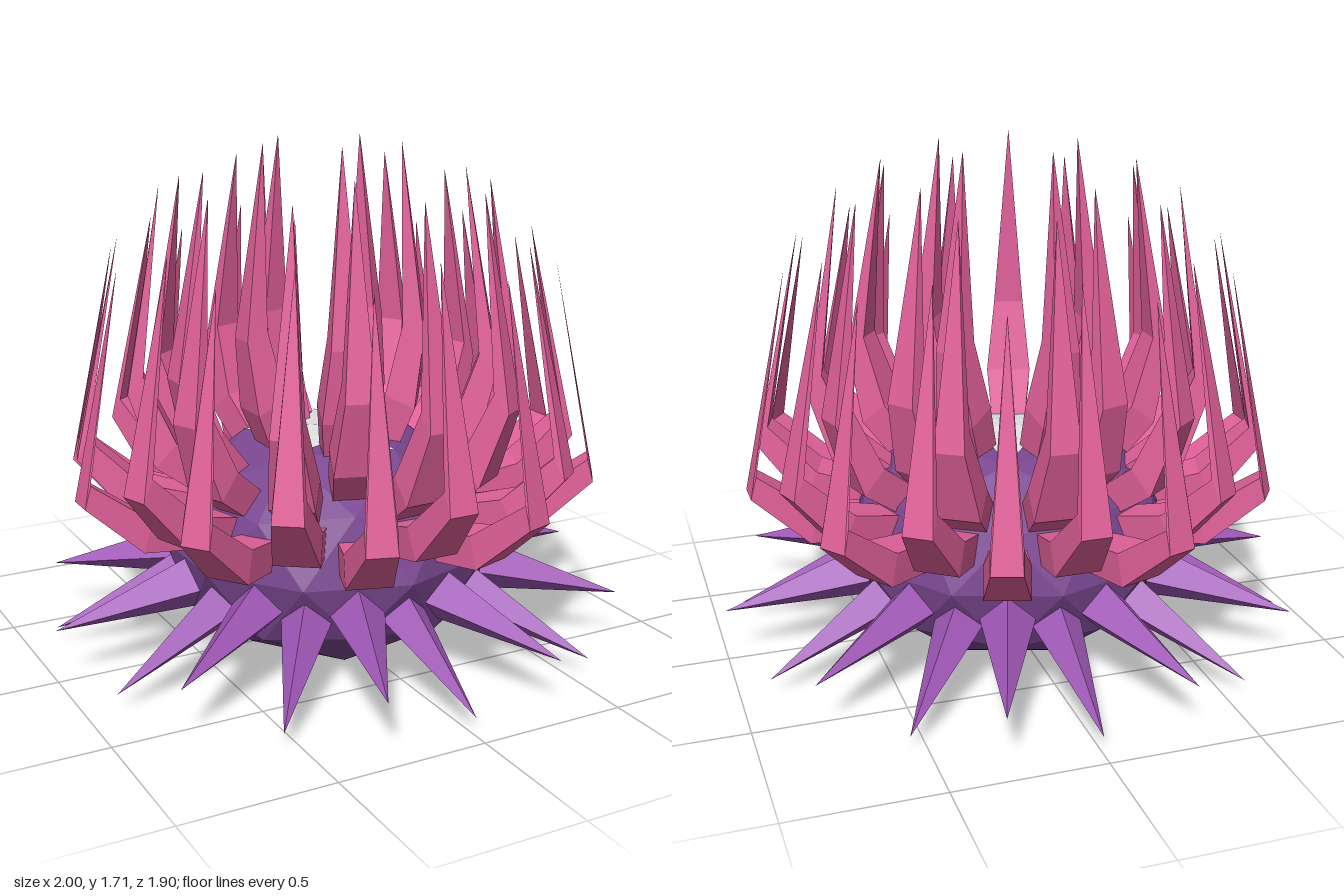
import * as THREE from 'three';

const flat = (name, color) => new THREE.MeshStandardMaterial({ name, color, flatShading: true });

// Square limb through [radius, height, width, thickness] sections in the XY plane,
// every section facing the same way, tilted up by elevation degrees
function limbGeometry(sections, elevation) {
  const e = THREE.MathUtils.degToRad(elevation);
  const rings = sections.map(([x, y, w, t]) =>
    [[1, 1], [-1, 1], [-1, -1], [1, -1]].map(([n, z]) =>
      [x - Math.sin(e) * n * t / 2, y + Math.cos(e) * n * t / 2, z * w / 2]));
  const pos = [];
  const quad = (a, b, c, d) => pos.push(...a, ...b, ...c, ...a, ...c, ...d);
  for (let i = 0; i < rings.length - 1; i++) {
    for (let k = 0; k < 4; k++) {
      const m = (k + 1) % 4;
      quad(rings[i][k], rings[i][m], rings[i + 1][m], rings[i + 1][k]);
    }
  }
  const [a, b, c, d] = rings[0];
  quad(d, c, b, a);
  const g = new THREE.BufferGeometry();
  g.setAttribute('position', new THREE.Float32BufferAttribute(pos, 3));
  g.computeVertexNormals();
  return g;
}

// Repeat one geometry around the vertical axis
function ringOf(name, geometry, material, count, startDeg) {
  const group = new THREE.Group();
  group.name = name + 'Ring';
  for (let i = 0; i < count; i++) {
    const m = new THREE.Mesh(geometry, material);
    m.name = name;
    m.rotation.y = THREE.MathUtils.degToRad(startDeg + i * 360 / count);
    group.add(m);
  }
  return group;
}

// Squashed faceted ball with one vertex at the top and a flat base
function bodyGeometry() {
  const g = new THREE.IcosahedronGeometry(1, 1);
  g.rotateX(-Math.atan((1 + Math.sqrt(5)) / 2));
  g.rotateY(Math.PI / 2);
  const p = g.attributes.position;
  for (let i = 0; i < p.count; i++) {
    const y = THREE.MathUtils.clamp(0.355 + p.getY(i) * 0.417, 0, 0.73);
    p.setXYZ(i, p.getX(i) * 0.575, y, p.getZ(i) * 0.575);
  }
  g.computeVertexNormals();
  return g;
}

// Five-pointed ridged star lying on the crown
function starGeometry() {
  const pos = [];
  const point = (i) => {
    const a = i * Math.PI / 5;
    const r = i % 2 ? 0.13 : 0.31;
    return [r * Math.cos(a), i % 2 ? 0.724 : 0.714, -r * Math.sin(a)];
  };
  for (let i = 0; i < 10; i++) pos.push(0, 0.745, 0, ...point(i), ...point(i + 1));
  const g = new THREE.BufferGeometry();
  g.setAttribute('position', new THREE.Float32BufferAttribute(pos, 3));
  g.computeVertexNormals();
  return g;
}

// Four-sided spike pointing from the body to its tip
function spikeGeometry(radius, baseR, baseY, tipR, tipY) {
  const dx = tipR - baseR, dy = tipY - baseY, len = Math.hypot(dx, dy);
  const g = new THREE.ConeGeometry(radius, len, 4);
  g.translate(0, len / 2, 0);
  g.rotateZ(Math.atan2(dy, dx) - Math.PI / 2);
  g.translate(baseR, baseY, 0);
  return g;
}

export function createModel() {
  const bodyPurple = flat('body purple', 0x7a4790);
  const spikePurple = flat('spike purple', 0x9f57b6);
  const pink = flat('tentacle pink', 0xe4629c);
  const white = flat('star white', 0xe2e2e2);
  white.side = THREE.DoubleSide;

  const model = new THREE.Group();
  model.name = 'spikyCreature';

  const body = new THREE.Mesh(bodyGeometry(), bodyPurple);
  body.name = 'body';
  const star = new THREE.Mesh(starGeometry(), white);
  star.name = 'crownStar';
  model.add(body, star);

  // Horizontal spikes, alternating level and drooping
  model.add(ringOf('levelSpike', spikeGeometry(0.11, 0.42, 0.28, 1, 0.18), spikePurple, 10, 0));
  model.add(ringOf('droopingSpike', spikeGeometry(0.1, 0.42, 0.27, 0.95, 0.06), spikePurple, 10, 18));

  // Tentacle rows from crown to rim: count, start angles, elevation, then base, knuckle, elbow, tip
  const rows = [
    ['crownTentacle', 5, [36], 65, [0.18, 0.66], [0.25, 0.85], [0.29, 1.09], [0.24, 1.71]],
    ['innerTentacle', 5, [36], 50, [0.34, 0.59], [0.47, 0.75], [0.54, 0.99], [0.45, 1.63]],
    ['middleTentacle', 5, [15, 57], 42, [0.40, 0.55], [0.56, 0.67], [0.655, 0.91], [0.56, 1.57]],
    ['outerTentacle', 10, [18], 28, [0.45, 0.48], [0.68, 0.54], [0.84, 0.71], [0.70, 1.41]],
    ['rimTentacle', 10, [0], 15, [0.46, 0.44], [0.70, 0.475], [0.89, 0.63], [0.75, 1.34]],
  ];
  for (const [name, count, starts, elevation, base, knuckle, elbow, tip] of rows) {
    const g = limbGeometry([
      [...base, 0.11, 0.1],
      [...knuckle, 0.15, 0.11],
      [...elbow, 0.1, 0.08],
      [...tip, 0.001, 0.001],
    ], elevation);
    for (const start of starts) model.add(ringOf(name, g, pink, count, start));
  }
  return model;
}
